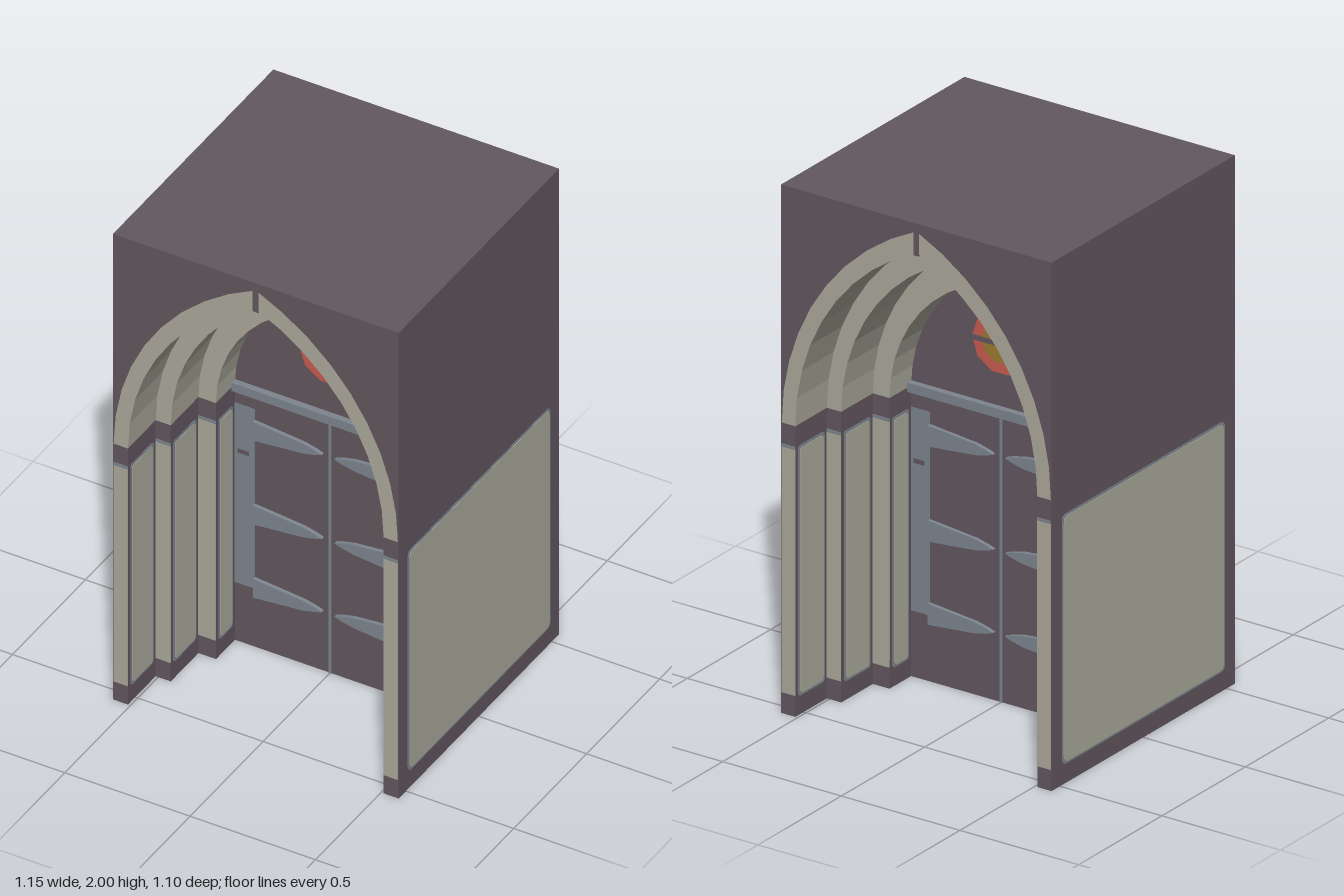
import * as THREE from 'three';

const mat = (name, color) => {
  const m = new THREE.MeshStandardMaterial({ color });
  m.name = name;
  return m;
};

export function createModel() {
  const wall = mat('plum wall', 0x62575f);
  const stone = mat('pale stone', 0xaba99b);
  const iron = mat('slate iron', 0x7d858f);
  const red = mat('red glass', 0xc95a50);
  const gold = mat('gold glass', 0x9c7a30);

  const HW = 0.57, HD = 0.55, TOP = 2, SPRING = 1.1, DOOR = 0.04;

  const add = (parent, name, geo, material, x = 0, y = 0, z = 0) => {
    const m = new THREE.Mesh(geo, material);
    m.name = name;
    m.position.set(x, y, z);
    parent.add(m);
    return m;
  };
  const box = (parent, name, material, x0, x1, y0, y1, z0, z1) =>
    add(parent, name, new THREE.BoxGeometry(x1 - x0, y1 - y0, z1 - z0), material,
      (x0 + x1) / 2, (y0 + y1) / 2, (z0 + z1) / 2);
  const extrude = (shape, depth) =>
    new THREE.ExtrudeGeometry(shape, { depth, bevelEnabled: false, curveSegments: 4 });

  // Pointed arch from the right springing over the apex to the left springing
  const arch = (w, apex, n = 9) => {
    const h = apex - SPRING, r = (w * w + h * h) / (2 * w), end = Math.asin(h / r);
    const right = [];
    for (let i = 0; i <= n; i++) {
      const a = (end * i) / n;
      right.push(new THREE.Vector2(w - r + r * Math.cos(a), SPRING + r * Math.sin(a)));
    }
    right[n].x = 0;
    const left = right.slice(0, n).reverse().map(p => new THREE.Vector2(-p.x, p.y));
    return [...right, ...left];
  };

  // Rounded stone panel with a thin iron border, facing +z
  const roundRect = (w, h, r) => {
    const s = new THREE.Shape(), x = w / 2, y = h / 2;
    s.moveTo(-x + r, -y);
    s.lineTo(x - r, -y);
    s.quadraticCurveTo(x, -y, x, -y + r);
    s.lineTo(x, y - r);
    s.quadraticCurveTo(x, y, x - r, y);
    s.lineTo(-x + r, y);
    s.quadraticCurveTo(-x, y, -x, y - r);
    s.lineTo(-x, -y + r);
    s.quadraticCurveTo(-x, -y, -x + r, -y);
    return s;
  };
  const panel = (name, w, h, rim, r) => {
    const g = new THREE.Group();
    g.name = name;
    add(g, 'panelBorder', extrude(roundRect(w + 2 * rim, h + 2 * rim, r), 0.002), iron);
    add(g, 'panelStone', extrude(roundRect(w, h, r), 0.004), stone);
    return g;
  };

  const model = new THREE.Group();
  model.name = 'gatehouse';
  box(model, 'middleWall', wall, -HW, HW, 0, TOP, -DOOR, DOOR);

  // Stepped orders from the outside in
  const orders = [
    { z0: 0.36, z1: HD, w: 0.51, apex: 1.89, ow: 0.567, oApex: 1.97, slit: true },
    { z0: 0.17, z1: 0.36, w: 0.45, apex: 1.78, ow: 0.51, oApex: 1.89, slit: true },
    { z0: DOOR, z1: 0.17, w: 0.38, apex: 1.63, ow: 0.45, oApex: 1.78, slit: false },
  ];

  const portal = name => {
    const g = new THREE.Group();
    g.name = name;

    for (const o of orders) {
      const depth = o.z1 - o.z0;
      // Wall above the springing
      const outline = [[-HW, SPRING], [-HW, TOP], [HW, TOP], [HW, SPRING]]
        .map(p => new THREE.Vector2(...p));
      add(g, 'upperWall', extrude(new THREE.Shape([...outline, ...arch(o.ow, o.oApex)]), depth),
        wall, 0, 0, o.z0);
      // Stone arch ring
      const ring = new THREE.Shape([...arch(o.ow, o.oApex), ...arch(o.w, o.apex).reverse()]);
      add(g, 'archRing', extrude(ring, depth), stone, 0, 0, o.z0);
      // Open joint at the apex
      if (o.slit) {
        box(g, 'apexJoint', wall, -0.011, 0.011, o.apex - 0.012, o.oApex + 0.005, o.z0, o.z1 + 0.002);
      }
      // Jambs with stone faces and reveals
      for (const s of [-1, 1]) {
        const mid = s * (o.w + HW) / 2, width = HW - o.w;
        add(g, 'jamb', new THREE.BoxGeometry(width, SPRING, depth),
          [wall, wall, wall, stone, wall, wall], mid, SPRING / 2, (o.z0 + o.z1) / 2);
        const faceW = o.ow - o.w, faceX = s * (o.w + o.ow) / 2;
        add(g, 'jambFace', new THREE.BoxGeometry(faceW, 0.93, 0.004), stone, faceX, 0.545, o.z1);
        add(g, 'jambFaceTrim', new THREE.BoxGeometry(faceW, 0.012, 0.004), iron, faceX, 1.016, o.z1);
        const p = panel('revealPanel', depth - 0.05, 0.93, 0.009, 0.015);
        p.position.set(s * o.w, 0.545, (o.z0 + o.z1) / 2);
        p.rotation.y = -s * Math.PI / 2;
        g.add(p);
      }
    }

    // Door ironwork
    const face = DOOR;
    box(g, 'lintel', iron, -0.38, 0.38, 1.085, 1.12, face, face + 0.025);
    box(g, 'doorSeam', iron, -0.005, 0.005, 0, 1.085, face, face + 0.004);
    for (const s of [-1, 1]) {
      add(g, 'doorEdgePlate', new THREE.BoxGeometry(0.08, 0.77, 0.004), iron, s * 0.34, 0.635, face);
      add(g, 'latchMark', new THREE.BoxGeometry(0.045, 0.018, 0.006), wall, s * 0.345, 0.82, face);
      const pts = [[0.3, -0.04], [0.3, 0.04], [0.1, 0.021], [0.05, 0.009], [0.025, 0],
        [0.05, -0.009], [0.1, -0.021]];
      const strap = new THREE.Shape(pts.map(([x, y]) => new THREE.Vector2(s * x, y)));
      for (const y of [0.935, 0.575, 0.26]) {
        add(g, 'strapHinge', extrude(strap, 0.015), iron, 0, y, face);
      }
    }

    // Round window above the door
    const disc = (label, r, t, m) => {
      const geo = new THREE.CylinderGeometry(r, r, t, 10);
      geo.rotateX(Math.PI / 2);
      geo.rotateZ(Math.PI / 10);
      add(g, label, geo, m, 0, 1.36, face + t / 2);
    };
    disc('windowRim', 0.118, 0.008, red);
    disc('windowCentre', 0.075, 0.012, gold);
    box(g, 'windowBar', wall, -0.118, 0.118, 1.35, 1.369, face, face + 0.014);
    return g;
  };

  const front = portal('frontPortal');
  const back = portal('backPortal');
  back.rotation.y = Math.PI;
  model.add(front, back);

  // Large side panels
  for (const s of [-1, 1]) {
    const p = panel('sidePanel', 0.96, 0.93, 0.008, 0.025);
    p.position.set(s * HW, 0.547, 0);
    p.rotation.y = s * Math.PI / 2;
    model.add(p);
  }
  return model;
}
